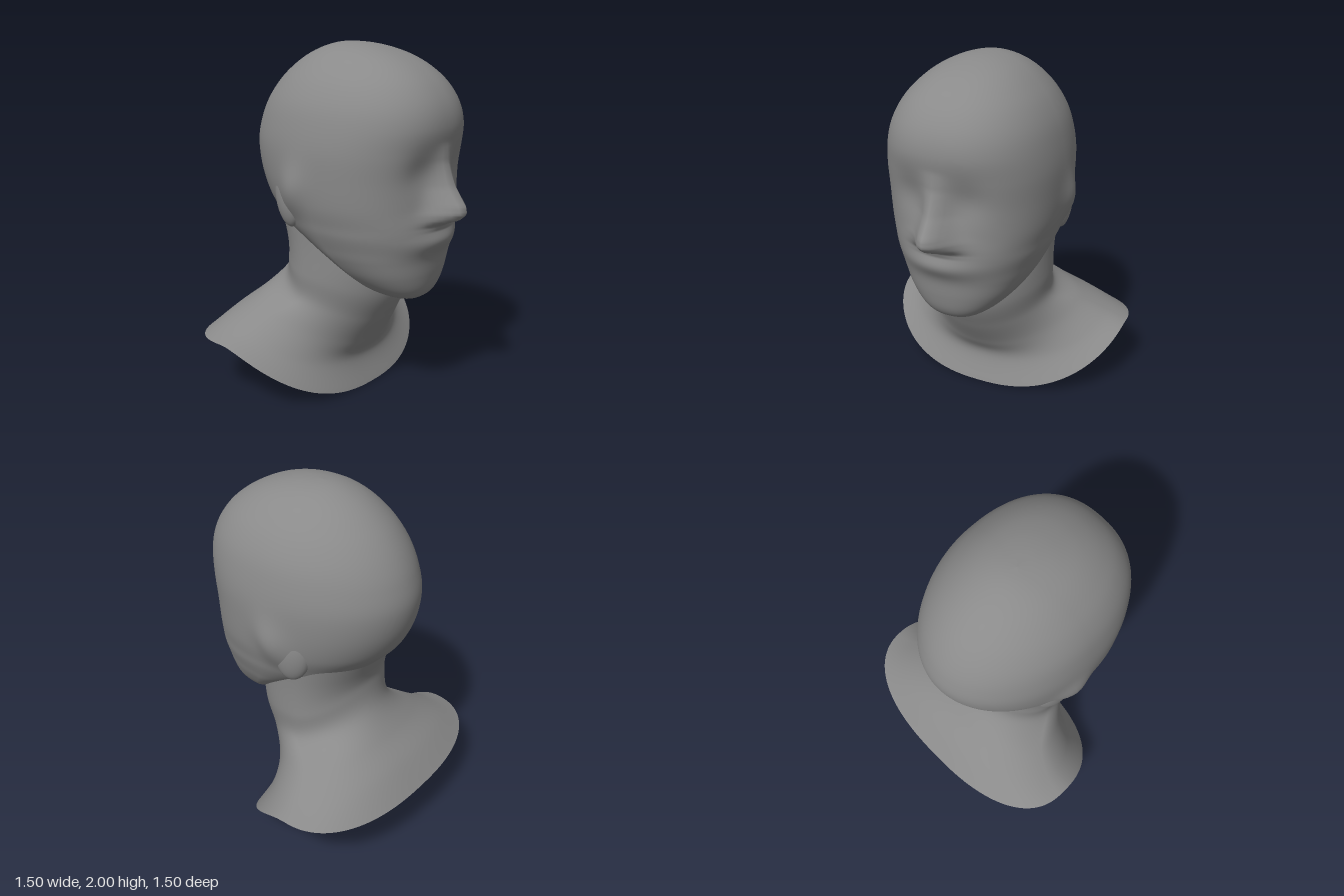
import * as THREE from 'three';

const SEG = 128;

// Smooth interpolation through rows of numbers, returning n + 1 rows
function smoothRows(rows, n) {
  const last = rows.length - 1;
  return Array.from({ length: n + 1 }, (_, k) => {
    const t = (k / n) * last;
    const i = Math.min(Math.floor(t), last - 1), f = t - i;
    const p0 = rows[Math.max(i - 1, 0)], p1 = rows[i], p2 = rows[i + 1], p3 = rows[Math.min(i + 2, last)];
    return p1.map((v, c) => {
      const m1 = (p2[c] - p0[c]) / 2, m2 = (p3[c] - v) / 2, d = p2[c] - v;
      return v + f * (m1 + f * (3 * d - 2 * m1 - m2 + f * (m1 + m2 - 2 * d)));
    });
  });
}

// Skin over closed rings; pointAt(row, sin, cos) gives [x, y, z]
function loft(rows, pointAt) {
  const pos = [], index = [];
  rows.forEach((row, i) => {
    for (let j = 0; j < SEG; j++) {
      const a = (j / SEG) * Math.PI * 2;
      pos.push(...pointAt(row, Math.sin(a), Math.cos(a)));
      if (i === rows.length - 1) continue;
      const k = (j + 1) % SEG, A = i * SEG, B = A + SEG;
      index.push(A + j, B + j, B + k, A + j, B + k, A + k);
    }
  });
  const g = new THREE.BufferGeometry();
  g.setAttribute('position', new THREE.Float32BufferAttribute(pos, 3));
  g.setIndex(index);
  g.computeVertexNormals();
  return g;
}

const spow = (v, e) => Math.sign(v) * Math.pow(Math.abs(v), e);
const bell = (d, s) => Math.exp(-(d * d) / (2 * s * s));

// Nose height in front of the face: [y, height, half width]
const NOSE = [[1.5, 0, 0.04], [1.4, 0.025, 0.045], [1.27, 0.09, 0.05], [1.17, 0.16, 0.065],
  [1.13, 0.16, 0.075], [1.095, 0.115, 0.08], [1.06, 0.02, 0.085], [1.03, 0, 0.085]];
function noseAt(x, y) {
  for (let i = 0; i < NOSE.length - 1; i++) {
    const [y0, h0, w0] = NOSE[i], [y1, h1, w1] = NOSE[i + 1];
    if (y <= y0 && y > y1) {
      const t = (y0 - y) / (y0 - y1);
      return THREE.MathUtils.lerp(h0, h1, t) * bell(x, THREE.MathUtils.lerp(w0, w1, t));
    }
  }
  return 0;
}

// Head rings: [y, front z, back z, widest z, half width]
const HEAD = [
  [2, -0.01, -0.01, -0.01, 0], [1.992, 0.11, -0.09, 0, 0.075], [1.97, 0.225, -0.17, 0.02, 0.155],
  [1.93, 0.345, -0.26, 0.04, 0.235], [1.87, 0.455, -0.35, 0.05, 0.31], [1.79, 0.545, -0.437, 0.06, 0.38],
  [1.69, 0.607, -0.512, 0.06, 0.435], [1.58, 0.63, -0.565, 0.06, 0.467], [1.45, 0.615, -0.594, 0.06, 0.485],
  [1.3, 0.595, -0.572, 0.06, 0.483], [1.16, 0.59, -0.508, 0.07, 0.47], [1.06, 0.597, -0.42, 0.08, 0.446],
  [1, 0.59, -0.36, 0.1, 0.43], [0.93, 0.58, -0.22, 0.12, 0.402], [0.86, 0.568, -0.07, 0.16, 0.37],
  [0.77, 0.555, 0.08, 0.23, 0.312], [0.69, 0.535, 0.19, 0.3, 0.235], [0.64, 0.505, 0.28, 0.37, 0.155],
  [0.615, 0.465, 0.35, 0.41, 0.075], [0.608, 0.42, 0.42, 0.42, 0],
];
function headPoint([y, front, back, mid, w], s, c) {
  const e = c > 0 ? 2 / 2.3 : 1.02;
  let x = w * spow(s, e);
  let z = mid + (c > 0 ? front - mid : mid - back) * spow(c, e);
  // soft covered ears
  x += Math.sign(s) * 0.035 * bell(z + 0.05, 0.07) * bell(y - 1.23 - 0.3 * (z + 0.05), 0.09);
  if (c > 0) {
    // nose, lips and eye sockets
    z += noseAt(x, y) + 0.035 * bell(y - 0.97, 0.045) * bell(x, 0.15);
    z -= 0.025 * bell(Math.abs(x) - 0.16, 0.075) * bell(y - 1.35, 0.08);
  }
  return [x, y, z];
}

// Neck and shoulder rings: [front y, front z, side x, side y, side z, back y, back z, roundness]
const NECK = [
  [1.15, 0.25, 0.39, 1.2, -0.12, 1.15, -0.45, 2],
  [0.85, 0.33, 0.367, 0.92, -0.08, 0.95, -0.37, 2],
  [0.62, 0.32, 0.363, 0.72, -0.07, 0.84, -0.362, 2],
  [0.44, 0.24, 0.365, 0.57, -0.1, 0.71, -0.4, 2],
  [0.28, 0.145, 0.48, 0.49, -0.26, 0.57, -0.51, 2.1],
  [0.17, 0.095, 0.63, 0.405, -0.34, 0.45, -0.64, 2.25],
  [0.005, 0.145, 0.75, 0.355, -0.35, 0.32, -0.752, 2.4],
];
function neckPoint([fy, fz, sx, sy, sz, by, bz, n], s, c) {
  const k = Math.pow(Math.abs(c), c > 0 ? 1.35 : 1.6), e = 2 / n;
  return [
    sx * spow(s, e),
    sy + ((c > 0 ? fy : by) - sy) * k,
    sz + (c > 0 ? fz - sz : sz - bz) * spow(c, e),
  ];
}

export function createModel() {
  const group = new THREE.Group();
  const clay = new THREE.MeshStandardMaterial({ color: 0x8a8a8a, side: THREE.DoubleSide });
  clay.name = 'grey clay';
  const add = (name, geometry) => {
    const mesh = new THREE.Mesh(geometry, clay);
    mesh.name = name;
    group.add(mesh);
    return mesh;
  };

  add('head', loft(smoothRows(HEAD, 171), headPoint));
  add('neckAndShoulders', loft(smoothRows(NECK, 60), neckPoint));

  // Thin rear rim of each ear
  for (const [side, label] of [[1, 'left'], [-1, 'right']]) {
    const rim = add(label + 'EarRim', new THREE.SphereGeometry(1, 32, 24));
    rim.scale.set(0.055, 0.165, 0.1);
    rim.position.set(side * 0.4, 1.17, -0.14);
    rim.rotation.set(-0.15, side * 0.3, 0);
  }
  return group;
}
